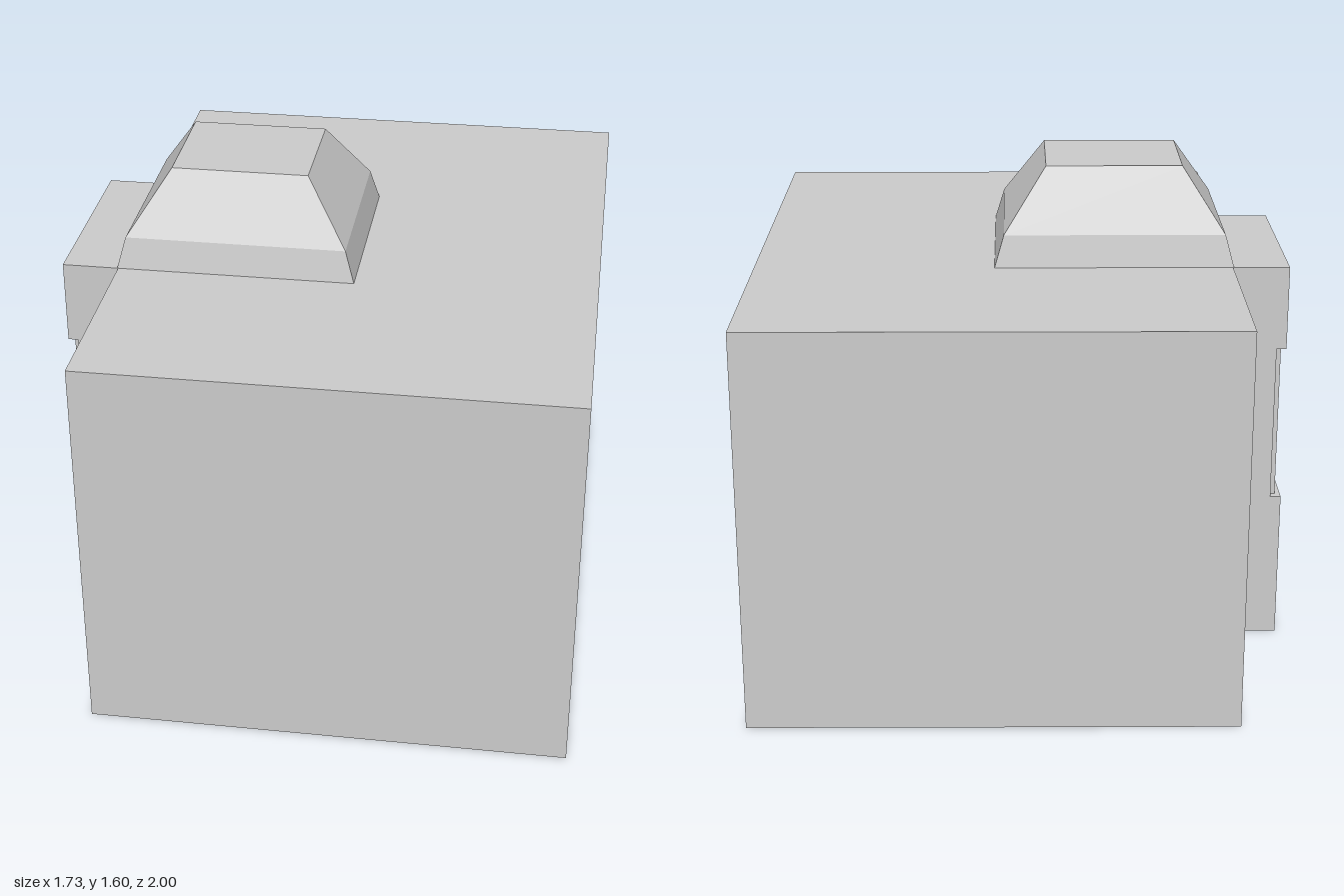
import * as THREE from 'three';

const stone = new THREE.MeshStandardMaterial({ color: 0xcccccc });
stone.name = 'paleGrey';

// Box given by its extents on each axis
function block(name, [x0, x1], [y0, y1], [z0, z1]) {
  const mesh = new THREE.Mesh(new THREE.BoxGeometry(x1 - x0, y1 - y0, z1 - z0), stone);
  mesh.position.set((x0 + x1) / 2, (y0 + y1) / 2, (z0 + z1) / 2);
  mesh.name = name;
  return mesh;
}

// Hipped tier: a box whose upper corners are pulled in
function tier(name, y0, y1, lower, upper) {
  const geo = new THREE.BoxGeometry(1, 1, 1).toNonIndexed();
  const p = geo.attributes.position;
  for (let i = 0; i < p.count; i++) {
    const top = p.getY(i) > 0;
    const [x0, x1, z] = top ? upper : lower;
    p.setXYZ(i, p.getX(i) < 0 ? x0 : x1, top ? y1 : y0, p.getZ(i) < 0 ? -z : z);
  }
  geo.computeVertexNormals();
  const mesh = new THREE.Mesh(geo, stone);
  mesh.name = name;
  return mesh;
}

export function createModel() {
  const model = new THREE.Group();
  model.name = 'building';

  // Main hall
  model.add(block('mainHall', [-0.68, 0.866], [0, 1.297], [-1, 1]));

  // Projecting bay with a shallow window band
  const bay = new THREE.Group();
  bay.name = 'bay';
  const wide = [-0.33, 0.33];
  bay.add(
    block('bayBase', [-0.867, -0.68], [0, 0.497], wide),
    block('bayWindowWall', [-0.832, -0.68], [0.497, 1.02], wide),
    block('bayLintel', [-0.864, -0.68], [1.02, 1.297], wide)
  );
  // Upright bars across the window
  for (let i = 0; i < 6; i++) {
    const z = -0.275 + i * 0.11;
    bay.add(block('windowBar', [-0.85, -0.832], [0.497, 1.02], [z - 0.025, z + 0.025]));
  }
  model.add(bay);

  // Two-tier roof lantern
  const base = [-0.683, 0.09, 0.33], waist = [-0.655, 0.06, 0.31], crown = [-0.52, -0.077, 0.19];
  const lantern = new THREE.Group();
  lantern.name = 'roofLantern';
  lantern.add(
    tier('lanternSkirt', 1.297, 1.4, base, waist),
    tier('lanternCap', 1.4, 1.6, waist, crown)
  );
  model.add(lantern);
  return model;
}
